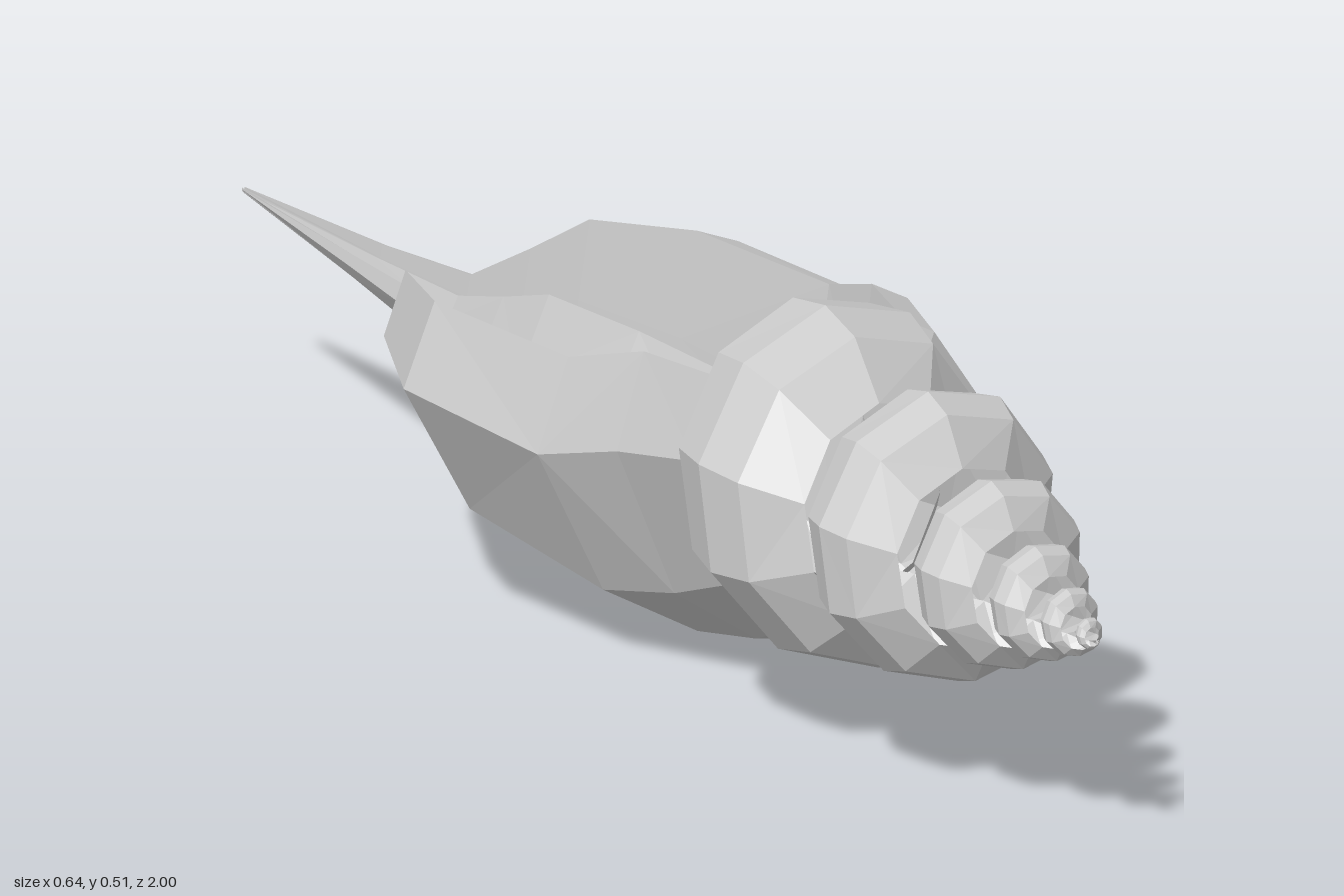
import * as THREE from 'three';

const material = new THREE.MeshStandardMaterial({
  color: 0xcccccc, flatShading: true, side: THREE.DoubleSide,
});

// Skin a list of equally long cross-sections, alternating the diagonals.
function loft(name, rows) {
  const n = rows[0].length, index = [];
  for (let i = 0; i < rows.length - 1; i++) {
    for (let j = 0; j < n - 1; j++) {
      const a = i * n + j, b = a + 1, c = a + n, d = c + 1;
      if ((i + j) % 2) index.push(a, b, c, b, d, c);
      else index.push(a, b, d, a, d, c);
    }
  }
  const geometry = new THREE.BufferGeometry();
  geometry.setAttribute('position', new THREE.Float32BufferAttribute(rows.flat(2), 3));
  geometry.setIndex(index);
  geometry.computeVertexNormals();
  const mesh = new THREE.Mesh(geometry, material);
  mesh.name = name;
  return mesh;
}

// Linear reading of a key list, extrapolated at the ends.
function key(list, t) {
  const i = Math.min(Math.max(Math.floor(t), 0), list.length - 2);
  return list[i] + (list[i + 1] - list[i]) * (t - i);
}

// Coiled whorls winding out from the apex; one key per full turn.
function spire() {
  const zKeys = [0.31, 0.57, 0.73, 0.84, 0.92, 0.97, 1];
  const rKeys = [0.22, 0.19, 0.125, 0.075, 0.045, 0.022, 0];
  // [offset along the axis, share of the radius]
  const profile = [[1, 0.62], [0.55, 0.92], [0, 1], [-0.6, 0.93], [-1.1, 0.7], [-1.6, 0.35]];
  const rows = [], perTurn = 10;
  for (let s = 6 * perTurn; s >= -3; s--) {
    const k = s / perTurn, angle = Math.PI * (0.5 + 2 * k);
    const z = key(zKeys, k), r = key(rKeys, k);
    const h = 0.19 * (1 - z) + 0.005 * Math.min(1, 6 - k);
    rows.push(profile.map(([dz, f]) => [
      r * f * Math.cos(angle), 0.293 + r * f * Math.sin(angle), z + dz * h,
    ]));
  }
  return loft('spireWhorls', rows);
}

// Body whorl: open section from the outer lip round to the inner fold and columella.
function body() {
  const section = [
    [-0.85, 0.85], [-1, 0.3], [-0.68, -0.58], [-0.22, -0.93], [0.2, -1], [0.66, -0.75],
    [1, -0.05], [0.9, 0.42], [0.62, 0.88], [0.42, 1],
    [0.34, 0.3], [0.3, -0.1], [0.14, 0.4], [-0.08, -0.3], [-0.05, -0.92],
  ];
  // [z, left, right, bottom, top]
  const stations = [
    [0.38, -0.1, 0.12, 0.16, 0.4],
    [0.27, -0.16, 0.25, 0.08, 0.46],
    [0.15, -0.2, 0.295, 0.02, 0.465],
    [0.04, -0.25, 0.317, 0, 0.43],
    [-0.17, -0.32, 0.25, 0.06, 0.445],
    [-0.33, -0.26, 0.14, 0.13, 0.42],
    [-0.42, -0.2, 0.07, 0.175, 0.36],
    [-0.52, -0.125, 0, 0.22, 0.3],
    [-0.7, -0.11, -0.04, 0.24, 0.287],
    [-1, -0.09, -0.085, 0.265, 0.272],
  ];
  return loft('bodyWhorlAndCanal', stations.map(([z, x0, x1, y0, y1]) =>
    section.map(([u, v]) => [
      (x0 + x1) / 2 + u * (x1 - x0) / 2, (y0 + y1) / 2 + v * (y1 - y0) / 2, z,
    ])));
}

export function createModel() {
  const shell = new THREE.Group();
  shell.name = 'spiralShell';
  shell.add(spire(), body());
  return shell;
}
